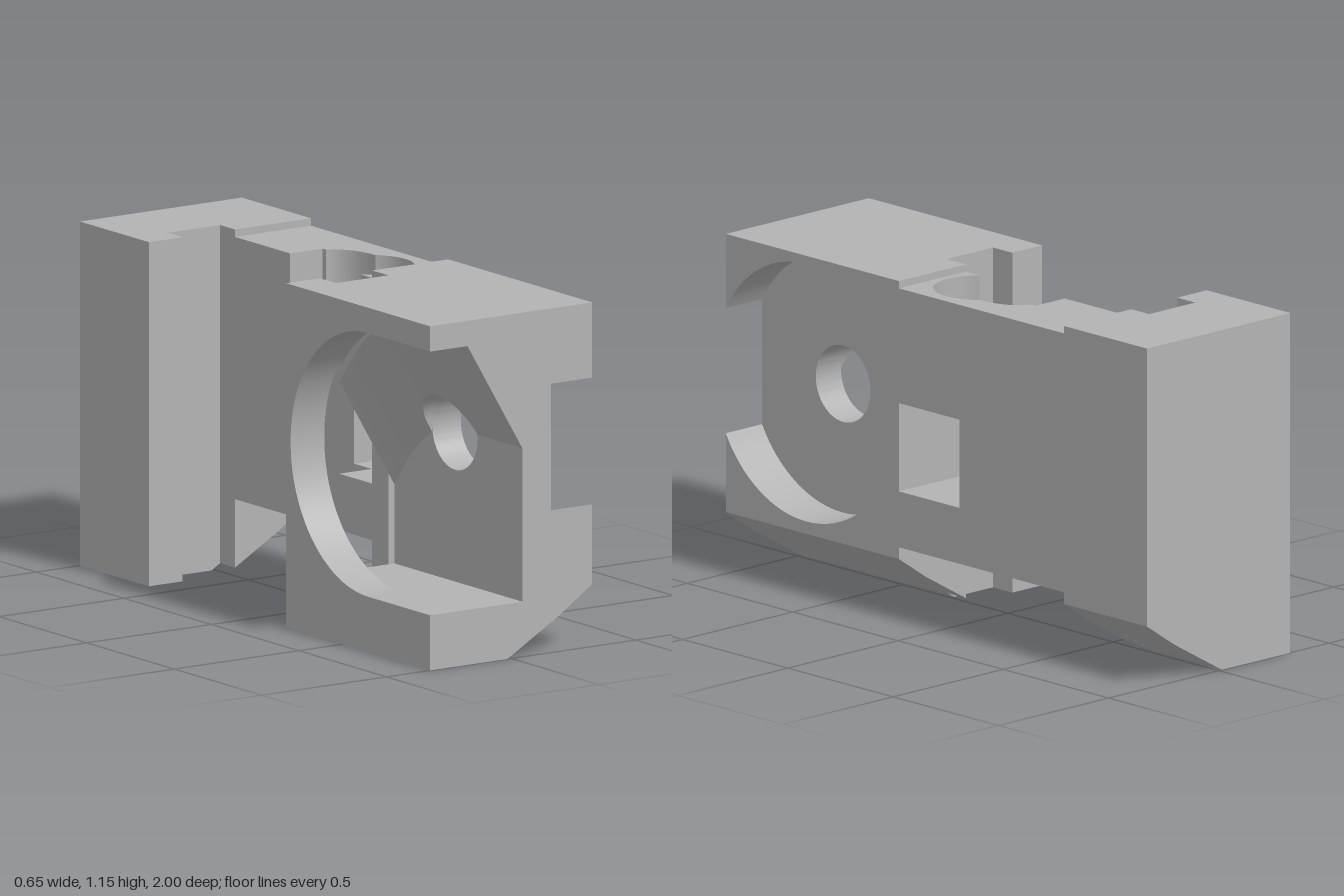
import * as THREE from 'three';
import { toCreasedNormals } from 'three/addons/utils/BufferGeometryUtils.js';

const PI = Math.PI;

export function createModel() {
  const group = new THREE.Group();
  const grey = new THREE.MeshStandardMaterial({ color: 0xb3b3b3 });
  grey.name = 'plain grey';

  const add = (name, geo) => {
    const mesh = new THREE.Mesh(toCreasedNormals(geo, 0.5), grey);
    mesh.name = name;
    group.add(mesh);
  };
  const poly = (pts) => new THREE.Shape(pts.map(([a, b]) => new THREE.Vector2(a, b)));
  const extrude = (shape, depth) =>
    new THREE.ExtrudeGeometry(shape, { depth, bevelEnabled: false, curveSegments: 40 });

  // shape in (x, y), (z, y) or (x, z), pushed along the remaining axis
  const alongZ = (name, shape, z0, z1) => add(name, extrude(shape, z1 - z0).translate(0, 0, z0));
  const alongX = (name, shape, x0, x1) => add(name, extrude(shape, x1 - x0).rotateY(-PI / 2).translate(x1, 0, 0));
  const alongY = (name, shape, y0, y1) => add(name, extrude(shape, y1 - y0).rotateX(PI / 2).translate(0, y1, 0));
  const box = (name, x0, x1, y0, y1, z0, z1) =>
    add(name, new THREE.BoxGeometry(x1 - x0, y1 - y0, z1 - z0)
      .translate((x0 + x1) / 2, (y0 + y1) / 2, (z0 + z1) / 2));

  const L = -0.325, R = 0.325, TOP = 1.155;
  const slotL = -0.19, slotR = 0.02;      // vertical slots facing each other
  const Z0 = 0.178, ZS = 0.27;            // back of the front block, depth of its slot
  const chamfer = [[0.2, 0.125], [R, 0.21]];

  // Rear block with chamfered underside and slot
  alongZ('rearBlock', poly([[L, 0], [-0.015, 0], ...chamfer, [R, TOP], [L, TOP]]), -1, -0.69);
  box('rearSlotPost', L, slotL, 0, TOP, -0.69, -0.605);
  alongZ('rearSlotCheek', poly([[slotR, 0.02], ...chamfer, [R, TOP], [slotR, TOP]]), -0.69, -0.605);

  // Bridge between the blocks, in three layers around the square window
  const rearEdge = [[R, -0.605], [slotR, -0.605], [slotR, -0.29], [0.15, -0.29]];
  alongY('bridgeBottom', poly([...rearEdge, [0.15, -0.01], [slotR, -0.01], [slotR, Z0], [R, Z0]]), 0.25, 0.44);
  alongY('bridgeMiddle', poly([...rearEdge, [0.15, -0.11], [R, -0.11]]), 0.44, 0.74);
  const pocket = poly([...rearEdge, [0.15, -0.27]]);
  pocket.quadraticCurveTo(0.23, -0.24, 0.235, -0.11);
  pocket.absarc(0.125, 0, 0.155, -PI / 4, 2.31, false);
  pocket.lineTo(slotR, Z0);
  pocket.lineTo(R, Z0);
  alongY('bridgeTop', pocket, 0.74, 1.13);

  // Front block: C-shaped side with a round throat
  const yc = 0.6275, zc = 0.646, rc = 0.4425;
  const cheek = poly([[Z0, 0], [1, 0], [1, 0.185], [zc, 0.185]]);
  cheek.absarc(zc, yc, rc, -PI / 2, PI / 2, true);
  [[1, 1.07], [1, TOP], [Z0, TOP]].forEach(([z, y]) => cheek.lineTo(z, y));
  alongX('frontCheek', cheek, L, slotL);

  // Slabs and slot side
  box('topSlab', slotL, 0.16, 1.07, TOP, ZS, 1);
  alongZ('bottomSlab', poly([[slotL, 0], [-0.015, 0], ...chamfer, [0.045, 0.21], [0.045, 0.185], [slotL, 0.185]]), ZS, 1);
  alongZ('bottomSlabSlotSide', poly([[slotR, 0.02], ...chamfer, [slotR, 0.21]]), Z0, ZS);
  box('slotSide', slotR, 0.046, 0.2, TOP, Z0, ZS);

  // Rounded upper corner of the throat
  const a0 = PI - Math.acos((zc - ZS) / rc);
  const corner = poly([[zc, 1.07], [ZS, 1.07]]);
  corner.absarc(zc, yc, rc, a0, PI / 2, true);
  alongX('throatCorner', corner, slotL, 0.045);

  // Wall with the axle hole
  const wall = poly([[Z0, 0.185], [1, 0.185], [1, TOP], [Z0, TOP]]);
  const hole = new THREE.Path();
  hole.absarc(0.615, 0.69, 0.13, 0, 2 * PI, true);
  wall.holes.push(hole);
  alongX('axleWall', wall, 0.045, 0.16);

  // Outer layer with the round recess, open at the front
  const cz = 0.617, cr = 0.438, t = Math.acos((1 - cz) / cr);
  const outer = poly([[Z0, 0.21], [1, 0.21]]);
  outer.absarc(cz, 0.69, cr, -t, t, true);
  outer.lineTo(1, TOP);
  outer.lineTo(Z0, TOP);
  alongX('recessRim', outer, 0.16, R);

  // Sloped brace under the top slab, hollowed by the axle hole
  const section = (z) => {
    const y0 = 0.70 - 0.25 * (Math.max(0, 0.615 - z) / 0.345) ** 2;
    const d = 0.0169 - (z - 0.615) ** 2;
    const a = d > 0 ? Math.max(y0, 0.69 + Math.sqrt(d)) : y0;
    return [[0.045, a], [0.045 - 0.595 * (a - y0), a], [-0.175, y0 + 0.37], [-0.175, 1.071], [0.045, 1.071]]
      .map(([x, y]) => [x, y, z]);
  };
  const rows = [];
  for (let i = 0; i <= 10; i++) rows.push(section(ZS + 0.0215 * i));
  for (let i = 1; i <= 24; i++) rows.push(section(0.615 - 0.13 * Math.cos(PI * i / 24)));
  rows.push(section(1));
  const pos = [];
  const tri = (...p) => p.forEach((v) => pos.push(...v));
  for (let j = 0; j < rows.length - 1; j++) {
    for (let i = 0; i < 5; i++) {
      const k = (i + 1) % 5, p = rows[j], q = rows[j + 1];
      tri(p[i], q[i], p[k]);
      tri(p[k], q[i], q[k]);
    }
  }
  const first = rows[0], last = rows[rows.length - 1];
  for (let i = 1; i < 4; i++) {
    tri(first[0], first[i], first[i + 1]);
    tri(last[0], last[i + 1], last[i]);
  }
  const brace = new THREE.BufferGeometry();
  brace.setAttribute('position', new THREE.Float32BufferAttribute(pos, 3));
  brace.computeVertexNormals();
  add('slopedBrace', brace);

  return group;
}
